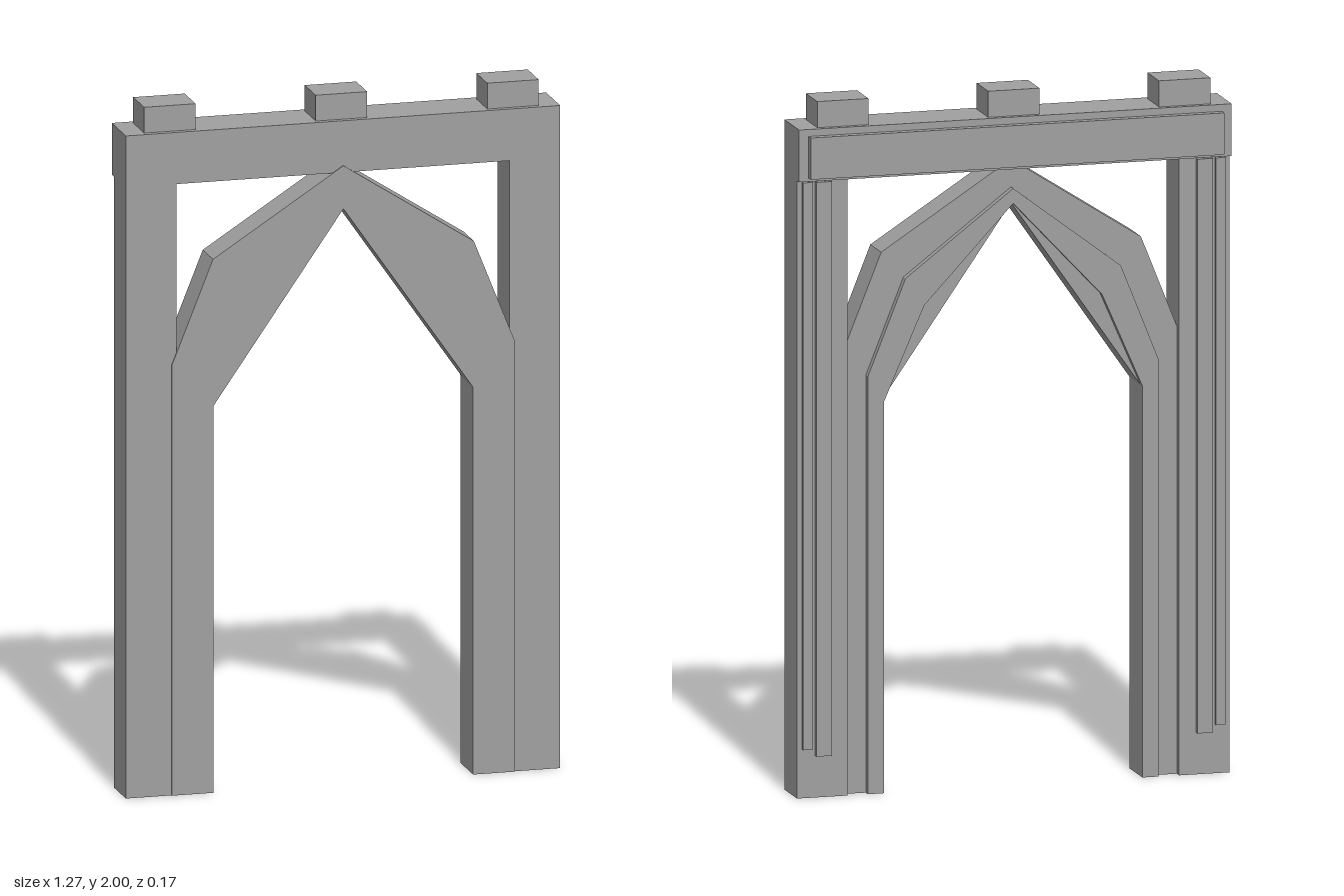
import * as THREE from 'three';

export function createModel() {
  const group = new THREE.Group();
  const stone = new THREE.MeshStandardMaterial({ color: 0xa0a0a0 });
  stone.name = 'grey stone';

  const add = (name, geometry) => {
    const mesh = new THREE.Mesh(geometry, stone);
    mesh.name = name;
    group.add(mesh);
  };

  // Box given by its limits on each axis
  const box = (name, x0, x1, y0, y1, z0, z1) =>
    add(name, new THREE.BoxGeometry(x1 - x0, y1 - y0, z1 - z0)
      .translate((x0 + x1) / 2, (y0 + y1) / 2, (z0 + z1) / 2));

  // Symmetrical arch: half outlines run from the foot to the crown at x = 0
  const arch = (name, outer, inner, z0, z1) => {
    const mirror = (half) => half.slice(0, -1).reverse().map(([x, y]) => [-x, y]);
    const outline = [
      ...outer, ...mirror(outer),
      ...mirror(inner).reverse().map(([x, y]) => [x, y]),
      ...inner.slice().reverse(),
    ];
    const shape = new THREE.Shape(outline.map(([x, y]) => new THREE.Vector2(x, y)));
    const geometry = new THREE.ExtrudeGeometry(shape, { depth: z1 - z0, bevelEnabled: false });
    add(name, geometry.translate(0, 0, z0));
  };

  // Outer posts, each with two raised strips on the back
  for (const s of [-1, 1]) {
    const side = s > 0 ? 'left' : 'right';
    const sideBox = (name, a, b, ...rest) =>
      box(side + name, Math.min(s * a, s * b), Math.max(s * a, s * b), ...rest);
    sideBox('Post', 0.485, 0.633, 0, 1.775, -0.045, 0.083);
    sideBox('WideStrip', 0.535, 0.58, 0.12, 1.77, -0.059, -0.045);
    sideBox('NarrowStrip', 0.59, 0.618, 0.14, 1.77, -0.056, -0.045);
  }

  // Lintel with a trim board on the back
  box('lintel', -0.633, 0.633, 1.775, 1.925, -0.066, 0.083);
  box('lintelTrim', -0.605, 0.605, 1.785, 1.905, -0.088, -0.066);

  // Blocks on top of the lintel
  for (const x of [-0.5, 0, 0.5]) box('topBlock', x - 0.075, x + 0.075, 1.925, 2, -0.05, 0.066);

  // Pointed arch and the raised moulding on its back
  arch('arch',
    [[0.5, 0], [0.5, 1.25], [0.38, 1.55], [0, 1.795]],
    [[0.378, 0], [0.378, 1.125], [0, 1.67]], -0.022, 0.087);
  arch('archMoulding',
    [[0.425, 0], [0.425, 1.2], [0.315, 1.475], [0, 1.715]],
    [[0.378, 0], [0.378, 1.125], [0.26, 1.395], [0, 1.672]], -0.044, -0.022);

  return group;
}
